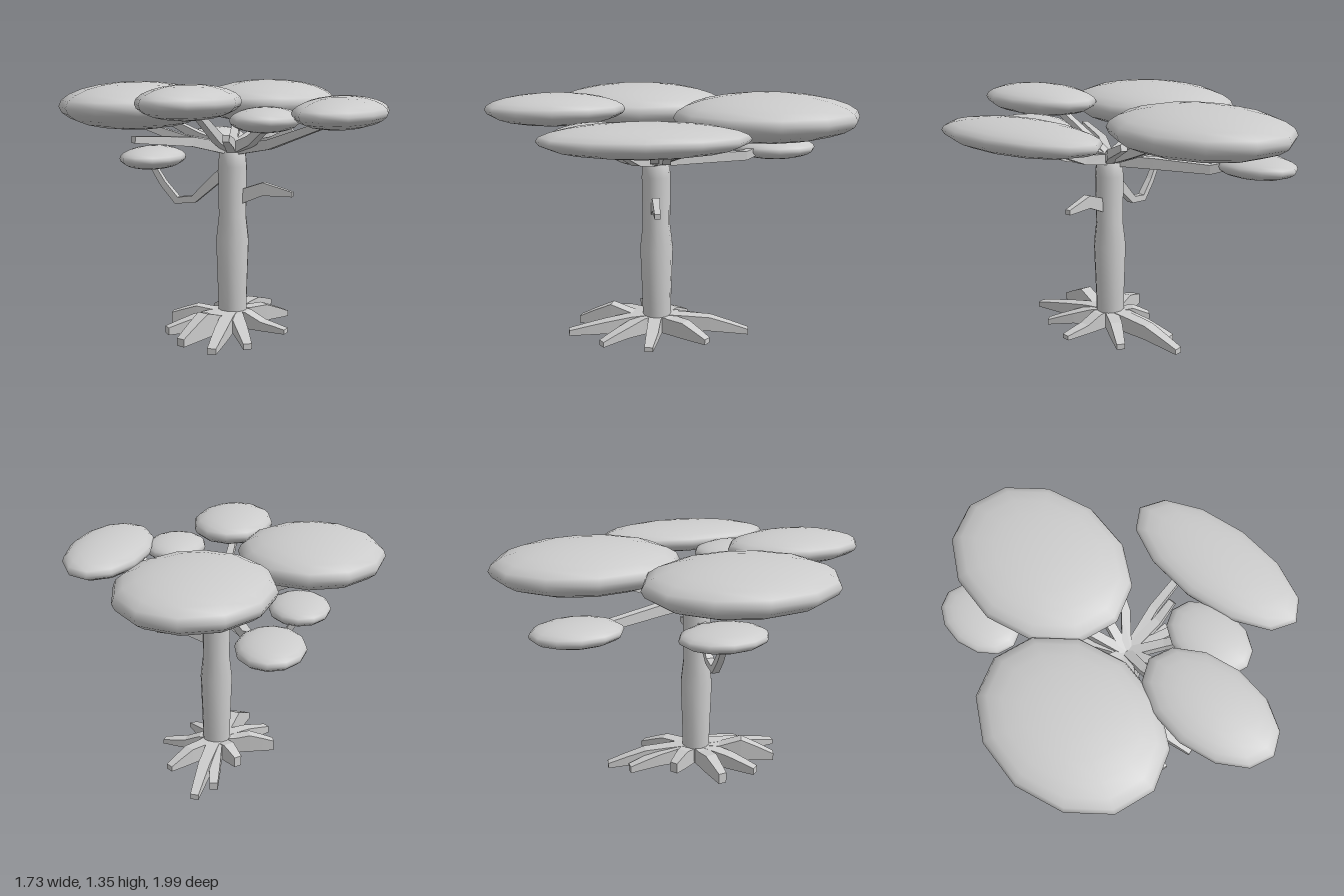
import * as THREE from 'three';
import { toCreasedNormals } from 'three/addons/utils/BufferGeometryUtils.js';

const material = new THREE.MeshStandardMaterial({ color: 0xcccccc });
const flatMaterial = new THREE.MeshStandardMaterial({ color: 0xcccccc, flatShading: true });
const TRUNK_X = 0.035, TRUNK_Z = 0.09;

// Four-sided tapering limb swept through stations [x, y, z, width, height]
function limbGeometry(stations, upright = false) {
  const up = new THREE.Vector3(0, 1, 0);
  const centres = stations.map(s => new THREE.Vector3(s[0], s[1], s[2]));
  const rings = stations.map((s, i) => {
    const t = centres[Math.min(i + 1, centres.length - 1)].clone().sub(centres[Math.max(i - 1, 0)]);
    if (upright) t.y = 0;
    t.normalize();
    const side = t.clone().cross(up).normalize();
    const lift = side.clone().cross(t);
    return [[-1, -1], [1, -1], [1, 1], [-1, 1]].map(([a, b]) =>
      centres[i].clone().addScaledVector(side, a * s[3] / 2).addScaledVector(lift, b * s[4] / 2));
  });
  const pos = [];
  const quad = (a, b, c, d) => [a, b, c, a, c, d].forEach(p => pos.push(p.x, p.y, p.z));
  for (let i = 0; i < rings.length - 1; i++) {
    for (let k = 0; k < 4; k++) {
      const n = (k + 1) % 4;
      quad(rings[i][k], rings[i + 1][k], rings[i + 1][n], rings[i][n]);
    }
  }
  quad(...rings[0]);
  quad(...rings[rings.length - 1].slice().reverse());
  const g = new THREE.BufferGeometry();
  g.setAttribute('position', new THREE.Float32BufferAttribute(pos, 3));
  g.computeVertexNormals();
  return g;
}

export function createModel() {
  const model = new THREE.Group();
  const add = (parent, name, geometry, mat = material) => {
    const mesh = new THREE.Mesh(geometry, mat);
    mesh.name = name;
    parent.add(mesh);
    return mesh;
  };
  const group = name => {
    const g = new THREE.Group();
    g.name = name;
    model.add(g);
    return g;
  };

  // Trunk with a slight swelling at mid height
  const profile = [[0, 0.02], [0.078, 0.02], [0.08, 0.2], [0.09, 0.5], [0.075, 0.63],
    [0.078, 0.9], [0.072, 0.97], [0.055, 1.0], [0, 1.0]].map(p => new THREE.Vector2(...p));
  add(model, 'trunk', toCreasedNormals(new THREE.LatheGeometry(profile, 12), 0.9))
    .position.set(TRUNK_X, 0, TRUNK_Z);

  // Flat-bottomed roots: [tip x, tip z, hump height, tip height, tip base]
  const roots = group('roots');
  [
    [0.09, -0.42, 0.08, 0.03, 0.0],
    [0.27, -0.17, 0.09, 0.03, 0.02],
    [0.355, 0.15, 0.05, 0.025, 0.02],
    [0.22, 0.40, 0.06, 0.03, 0.0],
    [0.09, 0.58, 0.07, 0.03, 0.02],
    [-0.10, 0.52, 0.13, 0.04, 0.02],
    [-0.24, 0.36, 0.08, 0.04, 0.02],
    [-0.295, 0.15, 0.105, 0.06, 0.02],
    [-0.11, -0.08, 0.10, 0.06, 0.02],
    [0.0, -0.31, 0.07, 0.04, 0.0],
  ].forEach(([x, z, hump, tip, base]) => {
    const station = (f, w, h, y) => [
      THREE.MathUtils.lerp(TRUNK_X, x, f), y + h / 2, THREE.MathUtils.lerp(TRUNK_Z, z, f), w, h];
    add(roots, 'root', limbGeometry([
      station(0, 0.08, 0.1, 0.02),
      station(0.3, 0.07, 0.09, 0.02),
      station(0.58, 0.065, hump, 0.02),
      station(0.8, 0.055, (hump + tip) / 2, (0.02 + base) / 2),
      station(1, 0.045, tip, base),
    ], true), flatMaterial);
  });

  // Branches fanning out of the trunk top: [elbow, tip]
  const branches = group('branches');
  [
    [[0.30, 1.04, 0.05], [0.58, 1.15, 0.06]],
    [[0.26, 1.04, 0.11], [0.37, 1.10, 0.11]],
    [[0.27, 1.03, 0.20], [0.56, 1.14, 0.30]],
    [[0.18, 1.05, 0.22], [0.29, 1.13, 0.34]],
    [[0.07, 1.04, 0.25], [0.09, 1.07, 0.36]],
    [[0.0, 1.06, 0.24], [-0.02, 1.20, 0.48]],
    [[-0.13, 1.04, 0.27], [-0.32, 1.07, 0.56]],
    [[-0.22, 1.04, 0.15], [-0.47, 1.12, 0.17]],
    [[-0.18, 1.04, 0.0], [-0.38, 1.12, -0.05]],
    [[-0.02, 1.05, -0.11], [-0.07, 1.13, -0.32]],
    [[0.10, 1.06, -0.12], [0.13, 1.14, -0.33]],
    [[0.19, 1.06, -0.05], [0.28, 1.13, -0.20]],
  ].forEach(([elbow, tip]) => add(branches, 'branch', limbGeometry([
    [TRUNK_X, 0.985, TRUNK_Z, 0.05, 0.06],
    [...elbow, 0.045, 0.05],
    [...tip, 0.035, 0.035],
  ]), flatMaterial));

  // Long low branch to the rear leaf pad
  add(branches, 'rearBranch', limbGeometry([
    [TRUNK_X, 0.985, TRUNK_Z, 0.05, 0.06], [-0.06, 0.98, -0.14, 0.05, 0.06],
    [-0.18, 0.965, -0.42, 0.045, 0.05], [-0.28, 1.01, -0.58, 0.035, 0.04],
  ]), flatMaterial);
  // Drooping side branch and the bare stub opposite
  add(branches, 'droopingBranch', limbGeometry([
    [0.0, 0.87, 0.1, 0.045, 0.06], [-0.06, 0.82, 0.1, 0.045, 0.055],
    [-0.18, 0.71, 0.1, 0.04, 0.04], [-0.28, 0.70, 0.1, 0.04, 0.04],
    [-0.36, 0.79, 0.1, 0.035, 0.035], [-0.43, 0.90, 0.1, 0.03, 0.03],
  ]), flatMaterial);
  add(branches, 'branchStub', limbGeometry([
    [0.08, 0.735, 0.1, 0.045, 0.08], [0.21, 0.785, 0.1, 0.04, 0.07], [0.37, 0.763, 0.1, 0.03, 0.026],
  ], true), flatMaterial);

  // Leaf pads: [centre], [radii]
  const foliage = group('foliage');
  const pad = new THREE.SphereGeometry(1, 12, 12);
  [
    [[-0.47, 1.217, 0.17], [0.395, 0.127, 0.5]],
    [[0.06, 1.217, -0.5], [0.395, 0.127, 0.5]],
    [[0.635, 1.2, 0.17], [0.228, 0.082, 0.5]],
    [[0.0, 1.26, 0.62], [0.23, 0.085, 0.37]],
    [[0.305, 1.17, 0.39], [0.17, 0.063, 0.235]],
    [[-0.31, 0.985, -0.615], [0.17, 0.063, 0.235]],
    [[-0.42, 0.93, 0.1], [0.17, 0.063, 0.235]],
  ].forEach(([centre, radii]) => {
    const leaf = add(foliage, 'leafPad', pad);
    leaf.position.set(...centre);
    leaf.scale.set(...radii);
  });

  return model;
}
